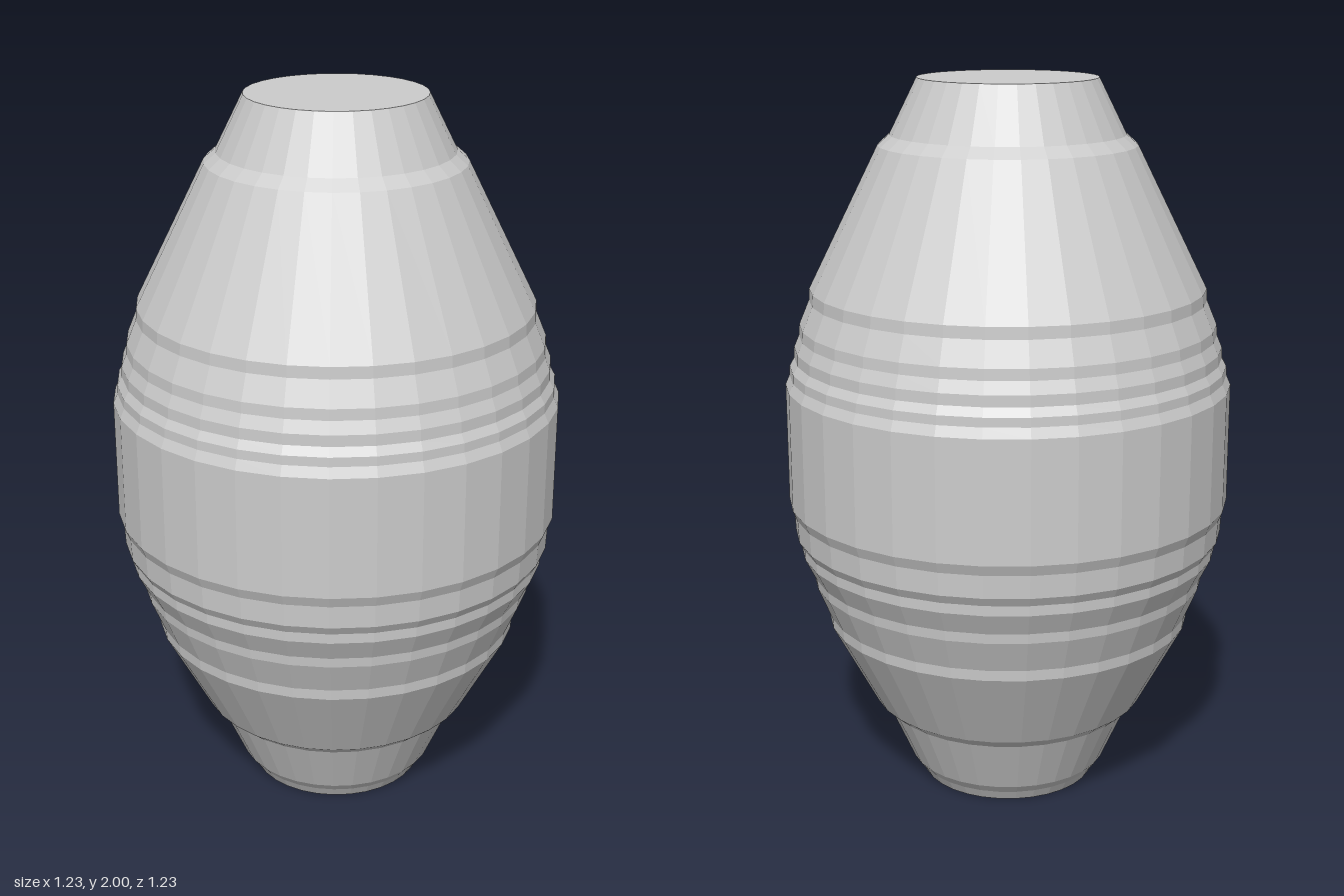
import * as THREE from 'three';

export function createModel() {
  const group = new THREE.Group();
  group.name = 'barrelVase';
  const stone = new THREE.MeshStandardMaterial({ color: 0xcccccc });
  stone.name = 'pale grey';

  // Radius and height pairs, from the base centre to the top centre
  const profile = [
    [0, 0], [0.245, 0],
    // foot and lower cone
    [0.262, 0.03], [0.282, 0.055], [0.352, 0.213], [0.387, 0.243], [0.513, 0.48],
    // lower ribs
    [0.515, 0.51], [0.553, 0.602], [0.556, 0.63], [0.587, 0.692], [0.588, 0.72],
    [0.602, 0.745], [0.605, 0.808], [0.617, 0.838],
    // belly
    [0.617, 1.17],
    // upper ribs
    [0.605, 1.197], [0.604, 1.222], [0.591, 1.245], [0.59, 1.275],
    [0.576, 1.308], [0.574, 1.338], [0.546, 1.405], [0.544, 1.437],
    // shoulder, ring and flat top
    [0.352, 1.822], [0.32, 1.85], [0.245, 2], [0, 2],
  ].map(([r, y]) => new THREE.Vector2(r, y));

  // Faceted turned body
  const geometry = new THREE.LatheGeometry(profile, 32).toNonIndexed();
  geometry.computeVertexNormals();
  const body = new THREE.Mesh(geometry, stone);
  body.name = 'ribbedBody';
  group.add(body);
  return group;
}
